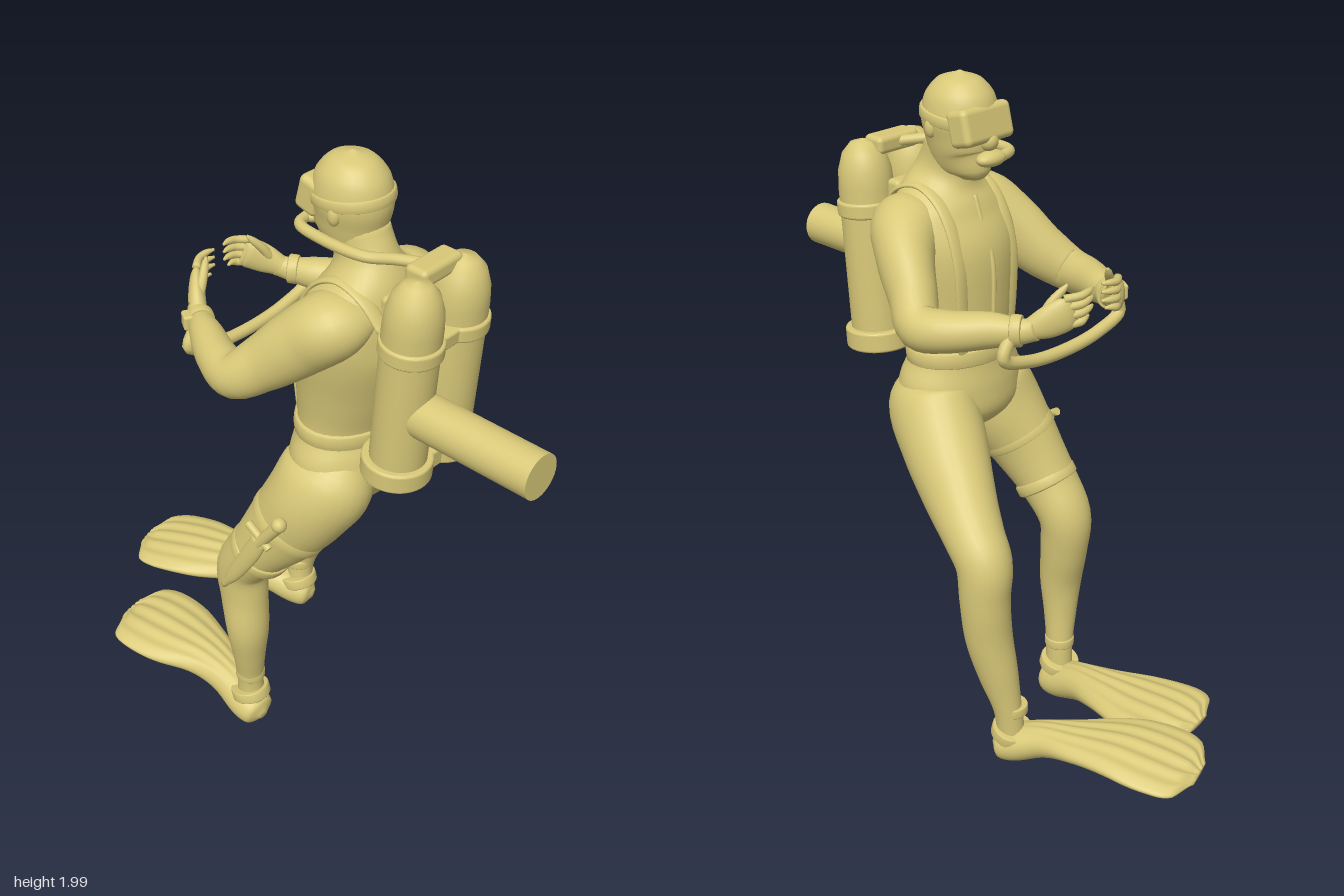
import * as THREE from 'three';
import { RoundedBoxGeometry } from 'three/addons/geometries/RoundedBoxGeometry.js';

const material = new THREE.MeshStandardMaterial({ color: 0xd8c878, side: THREE.DoubleSide });
const V = (p) => new THREE.Vector3(p[0], p[1], p[2]);

function add(parent, name, geometry, pos = [0, 0, 0], scale = [1, 1, 1]) {
  const m = new THREE.Mesh(geometry, material);
  m.name = name;
  m.position.set(...pos);
  m.scale.set(...scale);
  parent.add(m);
  return m;
}

// Smooth skin through elliptical sections [x, y, z, halfSide, halfDepth].
// ref is the direction the side radius points along; ribs ripples the upper face.
function loft(sections, { ref = [0, 0, 1], steps = 5, sides = 28, ribs = 0 } = {}) {
  const path = new THREE.CatmullRomCurve3(sections.map(V), false, 'centripetal');
  const n = (sections.length - 1) * steps;
  const pos = [], index = [];
  const smooth = (k, i, f) => {
    const g = (j) => sections[Math.min(Math.max(j, 0), sections.length - 1)][k];
    const [p, a, b, q] = [g(i - 1), g(i), g(i + 1), g(i + 2)];
    const v = 0.5 * (2 * a + (b - p) * f + (2 * p - 5 * a + 4 * b - q) * f * f + (3 * a - p - 3 * b + q) * f ** 3);
    return Math.max(v, 0.001);
  };
  for (let s = 0; s <= n; s++) {
    const i = Math.min(Math.floor(s / steps), sections.length - 2), f = s / steps - i;
    const c = path.getPoint(s / n), T = path.getTangent(s / n);
    const S = V(ref).addScaledVector(T, -V(ref).dot(T)).normalize();
    const D = new THREE.Vector3().crossVectors(T, S);
    const a = smooth(3, i, f), b = smooth(4, i, f);
    for (let k = 0; k < sides; k++) {
      const t = (k / sides) * Math.PI * 2, top = Math.max(0, Math.sin(t));
      const r = 1 + ribs * top * Math.max(0, s / n - 0.3) * Math.cos(Math.cos(t) * Math.PI * 5);
      const p = c.clone().addScaledVector(S, a * Math.cos(t)).addScaledVector(D, b * r * Math.sin(t));
      pos.push(p.x, p.y, p.z);
    }
  }
  for (let s = 0; s < n; s++) for (let k = 0; k < sides; k++) {
    const a = s * sides + k, b = s * sides + (k + 1) % sides;
    index.push(a, b, a + sides, b, b + sides, a + sides);
  }
  // end caps
  const first = pos.length / 3;
  [sections[0], sections[sections.length - 1]].forEach((p) => pos.push(p[0], p[1], p[2]));
  for (let k = 0; k < sides; k++) {
    const q = (k + 1) % sides;
    index.push(first, q, k, first + 1, n * sides + k, n * sides + q);
  }
  const g = new THREE.BufferGeometry();
  g.setAttribute('position', new THREE.Float32BufferAttribute(pos, 3));
  g.setIndex(index);
  g.computeVertexNormals();
  return g;
}

// Short cuff between two points
function band(p, q, a, b, ref) {
  const at = (f, s) => [0, 1, 2].map((i) => p[i] + (q[i] - p[i]) * f).concat(a * s, b * s);
  return loft([at(0, 0.94), at(0.12, 1), at(0.88, 1), at(1, 0.94)], { ref, steps: 2 });
}

const tube = (pts, r) => new THREE.TubeGeometry(new THREE.CatmullRomCurve3(pts.map(V)), 48, r, 12);

function rod(parent, name, p, q, r0, r1) {
  const d = V(q).sub(V(p));
  const m = add(parent, name, new THREE.CylinderGeometry(r1, r0, d.length(), 32));
  m.position.copy(V(p)).addScaledVector(d, 0.5);
  m.quaternion.setFromUnitVectors(new THREE.Vector3(0, 1, 0), d.normalize());
}

function buildHead(g) {
  add(g, 'head', loft([
    [0.1, 1.715, 0, 0.025, 0.04], [0.1, 1.735, 0, 0.055, 0.075], [0.118, 1.78, 0, 0.078, 0.098],
    [0.122, 1.83, 0, 0.09, 0.106], [0.125, 1.88, 0, 0.099, 0.112], [0.125, 1.94, 0, 0.087, 0.098],
    [0.125, 1.98, 0, 0.055, 0.062], [0.125, 2.0, 0, 0.004, 0.004]]));
  add(g, 'maskStrap', band([0.128, 1.868, 0], [0.124, 1.9, 0], 0.103, 0.115));
  add(g, 'mask', new RoundedBoxGeometry(0.075, 0.1, 0.18, 4, 0.018), [0.045, 1.872, -0.005]).rotation.z = -0.25;
  add(g, 'maskNosePocket', new THREE.SphereGeometry(0.027, 20, 14), [0.02, 1.83, 0]);
  add(g, 'regulator', new THREE.SphereGeometry(1, 24, 16), [0.01, 1.785, 0], [0.03, 0.022, 0.05]);
  for (const s of [-1, 1])
    add(g, 'ear', new THREE.SphereGeometry(1, 16, 12), [0.145, 1.86, s * 0.09], [0.018, 0.028, 0.016]);
  add(g, 'airHose', tube([[0, 1.785, 0.02], [0.02, 1.787, 0.08], [0.1, 1.787, 0.098],
    [0.24, 1.783, 0.085], [0.3, 1.775, 0.03], [0.36, 1.765, -0.02]], 0.015));
}

function buildTorso(g) {
  add(g, 'torso', loft([
    [0.15, 0.975, 0, 0.02, 0.04], [0.15, 0.99, 0, 0.09, 0.09], [0.142, 1.06, 0, 0.19, 0.148],
    [0.134, 1.14, 0, 0.197, 0.142], [0.13, 1.22, 0, 0.165, 0.125], [0.143, 1.35, 0, 0.175, 0.142],
    [0.163, 1.5, 0, 0.2, 0.157], [0.18, 1.6, 0, 0.2, 0.132], [0.185, 1.67, 0, 0.14, 0.112],
    [0.175, 1.73, 0, 0.08, 0.09], [0.152, 1.8, 0, 0.072, 0.08]], { sides: 36 }));
  add(g, 'belt', band([0.13, 1.195, 0], [0.132, 1.245, 0], 0.174, 0.134));
  for (const s of [-1, 1])
    add(g, 'shoulderStrap', loft([[0.03, 1.24, 0.085], [0.026, 1.38, 0.095], [0.03, 1.5, 0.1],
      [0.062, 1.6, 0.1], [0.11, 1.665, 0.1], [0.18, 1.695, 0.1], [0.26, 1.67, 0.1], [0.32, 1.6, 0.09],
    ].map(([x, y, z]) => [x, y, z * s, 0.022, 0.009])));
  add(g, 'zip', loft([[0.004, 1.25, 0, 0.007, 0.006], [0.001, 1.36, 0, 0.007, 0.006],
    [0.006, 1.5, 0, 0.007, 0.006], [0.047, 1.6, 0, 0.007, 0.006], [0.072, 1.67, 0, 0.007, 0.006]]));
}

function buildArm(s) {
  const g = new THREE.Group();
  g.name = s > 0 ? 'nearArm' : 'farArm';
  const ref = [0, 1, 0], out = s > 0 ? 0 : 0.02;
  add(g, 'sleeve', loft([
    [0.21, 1.61, 0.07, 0.06, 0.085], [0.19, 1.59, 0.14, 0.092, 0.1], [0.125, 1.53, 0.19 + out, 0.092, 0.08],
    [0.045, 1.455, 0.24 + out, 0.078, 0.066], [-0.025, 1.405, 0.284 + out, 0.064, 0.06],
    [-0.1, 1.408, 0.265 + out, 0.057, 0.057], [-0.2, 1.42, 0.215, 0.048, 0.046],
    [-0.27, 1.425, 0.175, 0.034, 0.03], [-0.3, 1.435, 0.155, 0.032, 0.026],
  ].map((p) => [p[0], p[1], p[2] * s, p[3], p[4]]), { ref }));
  add(g, 'cuff', band([-0.245, 1.425, 0.19 * s], [-0.27, 1.426, 0.174 * s], 0.043, 0.039, ref));
  if (s > 0) add(g, 'watch', new RoundedBoxGeometry(0.045, 0.045, 0.03, 3, 0.008),
    [-0.275, 1.43, 0.212]).rotation.y = -0.55;
  // palm, four fingers and a thumb
  add(g, 'palm', loft([[-0.28, 1.428, 0.168 * s, 0.028, 0.025], [-0.32, 1.452, 0.135 * s, 0.043, 0.024],
    [-0.352, 1.475, 0.1 * s, 0.046, 0.02], [-0.362, 1.483, 0.082 * s, 0.036, 0.012]], { ref }));
  for (let i = 0; i < 4; i++) {
    const y = 1.445 + i * 0.024, reach = i === 0 ? 0.015 : 0;
    add(g, 'finger', loft([[-0.35, y, 0.105 * s, 0.011, 0.012], [-0.375, y + 0.005, 0.07 * s, 0.011, 0.011],
      [-0.376, y + 0.01, (0.04 + reach) * s, 0.009, 0.009], [-0.37, y + 0.012, (0.018 + reach) * s, 0.004, 0.004]],
    { ref, sides: 10, steps: 3 }));
  }
  add(g, 'thumb', loft([[-0.305, 1.46, 0.14 * s, 0.014, 0.014], [-0.315, 1.5, 0.115 * s, 0.013, 0.013],
    [-0.33, 1.53, 0.09 * s, 0.01, 0.01], [-0.337, 1.545, 0.078 * s, 0.004, 0.004]], { ref: [1, 0, 0], sides: 10, steps: 3 }));
  return g;
}

function buildLeg(name, limb, fin, ankle) {
  const g = new THREE.Group();
  g.name = name;
  add(g, 'trouserLeg', loft(limb));
  add(g, 'fin', loft(fin, { sides: 80, ribs: 0.4 }));
  const [x, y, z] = ankle;
  add(g, 'ankleCuff', band([x, y + 0.07, z], [x, y + 0.1, z], 0.044, 0.046));
  add(g, 'finStrap', band([x + 0.004, y - 0.015, z], [x - 0.006, y + 0.02, z], 0.06, 0.06));
  return g;
}

function buildKnife() {
  const g = new THREE.Group();
  g.name = 'knife';
  add(g, 'sheath', loft([[0.065, 0.9, 0.293, 0.014, 0.026], [0.03, 0.83, 0.298, 0.015, 0.028],
    [-0.035, 0.72, 0.303, 0.014, 0.022], [-0.08, 0.65, 0.302, 0.01, 0.009]]));
  rod(g, 'handle', [0.06, 0.885, 0.293], [0.13, 0.98, 0.285], 0.017, 0.019);
  rod(g, 'guard', [0.02, 0.935, 0.293], [0.1, 0.885, 0.293], 0.012, 0.012);
  add(g, 'pommel', new THREE.SphereGeometry(0.022, 16, 12), [0.132, 0.985, 0.285]);
  add(g, 'upperStrap', band([0.075, 0.915, 0.165], [0.055, 0.88, 0.175], 0.109, 0.122));
  add(g, 'lowerStrap', band([-0.015, 0.775, 0.197], [-0.035, 0.745, 0.2], 0.094, 0.096));
  return g;
}

// Two-lobed slab that wraps both tanks
function twinLobe(r, height) {
  const d = 0.089, a = Math.PI * 0.78, bevel = 0.008;
  const shape = new THREE.Shape();
  shape.absarc(d, 0, r - bevel, -a, a, false);
  shape.absarc(-d, 0, r - bevel, Math.PI - a, Math.PI + a, false);
  const g = new THREE.ExtrudeGeometry(shape, { depth: height - 2 * bevel, curveSegments: 28,
    bevelSize: bevel, bevelThickness: bevel, bevelSegments: 4 });
  return g.translate(0, 0, bevel - height / 2).rotateX(-Math.PI / 2).rotateY(Math.PI / 2);
}

function buildTanks() {
  const g = new THREE.Group();
  g.name = 'airTanks';
  // domed bottle profile, slightly tilted back
  const profile = [[0, 0], [0.07, 0], [0.077, 0.012], [0.078, 0.46], [0.074, 0.51], [0.06, 0.555], [0.035, 0.583], [0, 0.592]];
  for (const z of [0.078, -0.1])
    add(g, 'tank', new THREE.LatheGeometry(profile.map((p) => new THREE.Vector2(...p)), 36), [0.365, 1.19, z]).rotation.z = -0.075;
  add(g, 'tankBoot', twinLobe(0.096, 0.06), [0.365, 1.21, -0.011]).rotation.z = -0.075;
  add(g, 'tankBand', twinLobe(0.085, 0.045), [0.397, 1.59, -0.011]).rotation.z = -0.075;
  add(g, 'backPlate', new RoundedBoxGeometry(0.05, 0.46, 0.16, 3, 0.015), [0.305, 1.45, -0.01]);
  add(g, 'valveBlock', new RoundedBoxGeometry(0.07, 0.05, 0.15, 3, 0.015), [0.377, 1.765, -0.02]);
  rod(g, 'mountingBar', [0.38, 1.395, 0.069], [0.807, 1.395, 0.069], 0.063, 0.063);
  return g;
}

export function createModel() {
  const model = new THREE.Group();
  model.name = 'diver';
  buildHead(model);
  buildTorso(model);
  model.add(buildArm(1), buildArm(-1), buildTanks(), buildKnife());
  model.add(buildLeg('nearLeg', [
    [0.165, 1.16, 0.085, 0.06, 0.08], [0.155, 1.08, 0.11, 0.115, 0.137], [0.112, 0.98, 0.142, 0.124, 0.132],
    [0.045, 0.87, 0.176, 0.1, 0.115], [-0.03, 0.76, 0.2, 0.087, 0.09], [-0.095, 0.66, 0.207, 0.08, 0.078],
    [-0.092, 0.55, 0.21, 0.071, 0.072], [-0.075, 0.43, 0.218, 0.066, 0.063], [-0.08, 0.32, 0.212, 0.052, 0.051],
    [-0.09, 0.2, 0.2, 0.04, 0.042], [-0.09, 0.08, 0.2, 0.04, 0.045]],
  [[-0.036, 0.055, 0.2, 0.015, 0.015], [-0.055, 0.06, 0.2, 0.053, 0.048], [-0.1, 0.072, 0.2, 0.064, 0.058],
    [-0.2, 0.11, 0.19, 0.066, 0.055], [-0.3, 0.134, 0.185, 0.094, 0.046], [-0.42, 0.145, 0.195, 0.138, 0.04],
    [-0.53, 0.155, 0.21, 0.147, 0.031], [-0.59, 0.155, 0.218, 0.125, 0.022], [-0.622, 0.155, 0.223, 0.05, 0.008]],
  [-0.09, 0.13, 0.2]));
  model.add(buildLeg('farLeg', [
    [0.16, 1.16, -0.085, 0.06, 0.08], [0.14, 1.08, -0.11, 0.115, 0.137], [0.05, 0.98, -0.15, 0.12, 0.128],
    [-0.07, 0.88, -0.208, 0.1, 0.108], [-0.165, 0.81, -0.25, 0.086, 0.086], [-0.222, 0.75, -0.268, 0.078, 0.08],
    [-0.232, 0.65, -0.275, 0.071, 0.072], [-0.237, 0.52, -0.265, 0.067, 0.068], [-0.258, 0.4, -0.25, 0.056, 0.06],
    [-0.285, 0.28, -0.237, 0.04, 0.042], [-0.29, 0.16, -0.225, 0.04, 0.045]],
  [[-0.24, 0.148, -0.245, 0.015, 0.015], [-0.258, 0.152, -0.237, 0.052, 0.046], [-0.3, 0.165, -0.22, 0.062, 0.054],
    [-0.38, 0.197, -0.185, 0.064, 0.05], [-0.47, 0.217, -0.15, 0.092, 0.042], [-0.6, 0.228, -0.09, 0.138, 0.038],
    [-0.71, 0.222, -0.05, 0.147, 0.03], [-0.772, 0.215, -0.028, 0.125, 0.022], [-0.806, 0.212, -0.017, 0.05, 0.008]],
  [-0.29, 0.2, -0.225]));
  // hose hanging between the wrists
  add(model, 'handHose', tube([[-0.255, 1.42, -0.2], [-0.257, 1.36, -0.23], [-0.258, 1.325, -0.14], [-0.258, 1.312, 0],
    [-0.258, 1.325, 0.14], [-0.257, 1.36, 0.23], [-0.255, 1.42, 0.2]], 0.018));
  return model;
}
